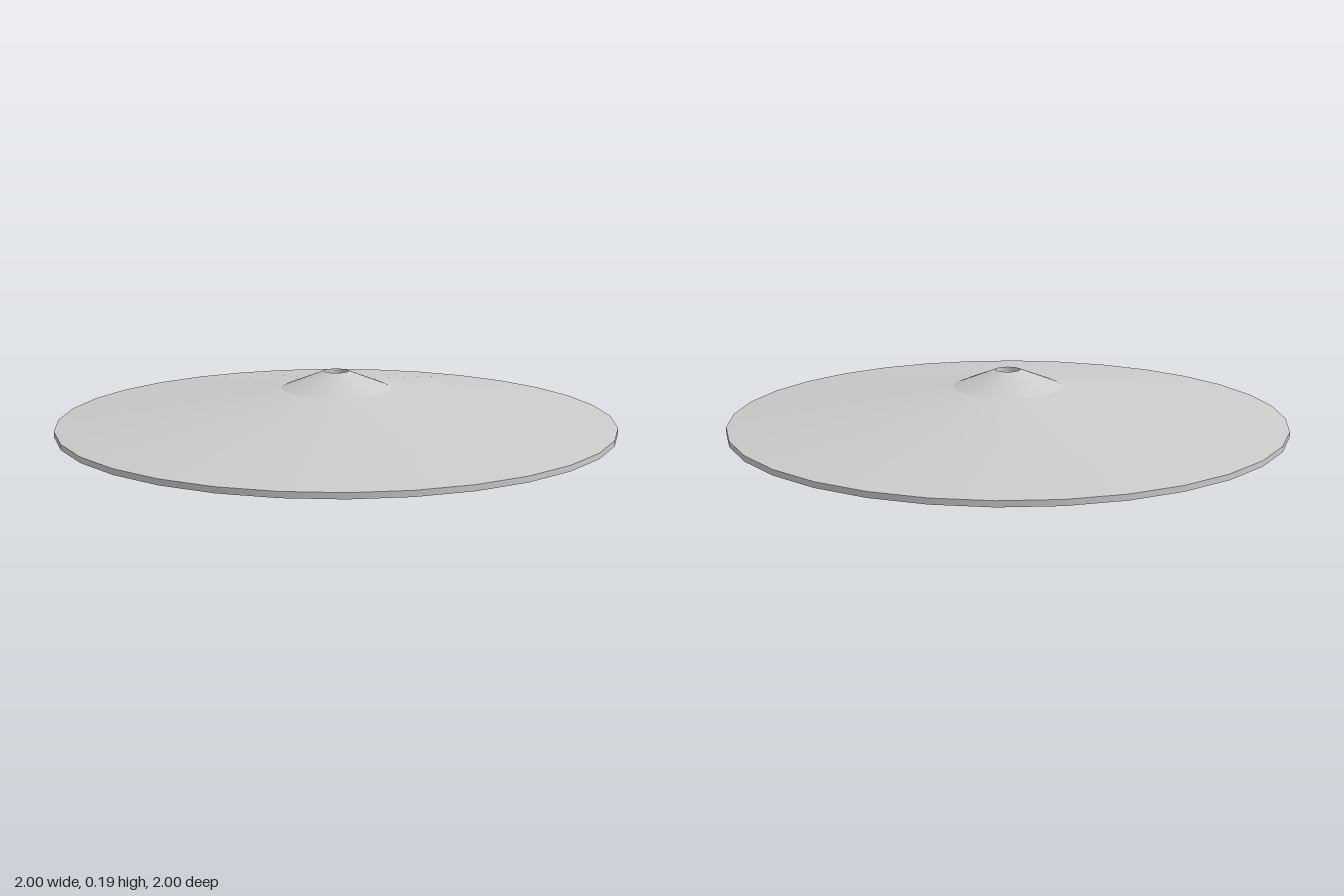
import * as THREE from 'three';

const SEGMENTS = 32;
const HOLE = 0.045, BELL = 0.197;   // radii
const THICK = 0.02;
const BELL_Y = 0.133, TOP_Y = 0.193;

export function createModel() {
  const group = new THREE.Group();
  group.name = 'cymbal';
  const material = new THREE.MeshStandardMaterial({ color: 0xcccccc });

  // Each surface is its own lathe, so the edges between them stay sharp
  const addSurface = (name, points) => {
    const profile = points.map(([r, y]) => new THREE.Vector2(r, y));
    const mesh = new THREE.Mesh(new THREE.LatheGeometry(profile, SEGMENTS), material);
    mesh.name = name;
    group.add(mesh);
  };

  // Profile runs up the rim, in over the top, down the hole and out underneath
  addSurface('rim', [[1, 0], [1, THICK]]);
  addSurface('bow', [[1, THICK], [BELL, BELL_Y]]);
  addSurface('bell', [[BELL, BELL_Y], [HOLE, TOP_Y]]);
  addSurface('holeWall', [[HOLE, TOP_Y], [HOLE, TOP_Y - THICK]]);
  addSurface('underside', [[HOLE, TOP_Y - THICK], [BELL, BELL_Y - THICK], [1, 0]]);

  return group;
}
